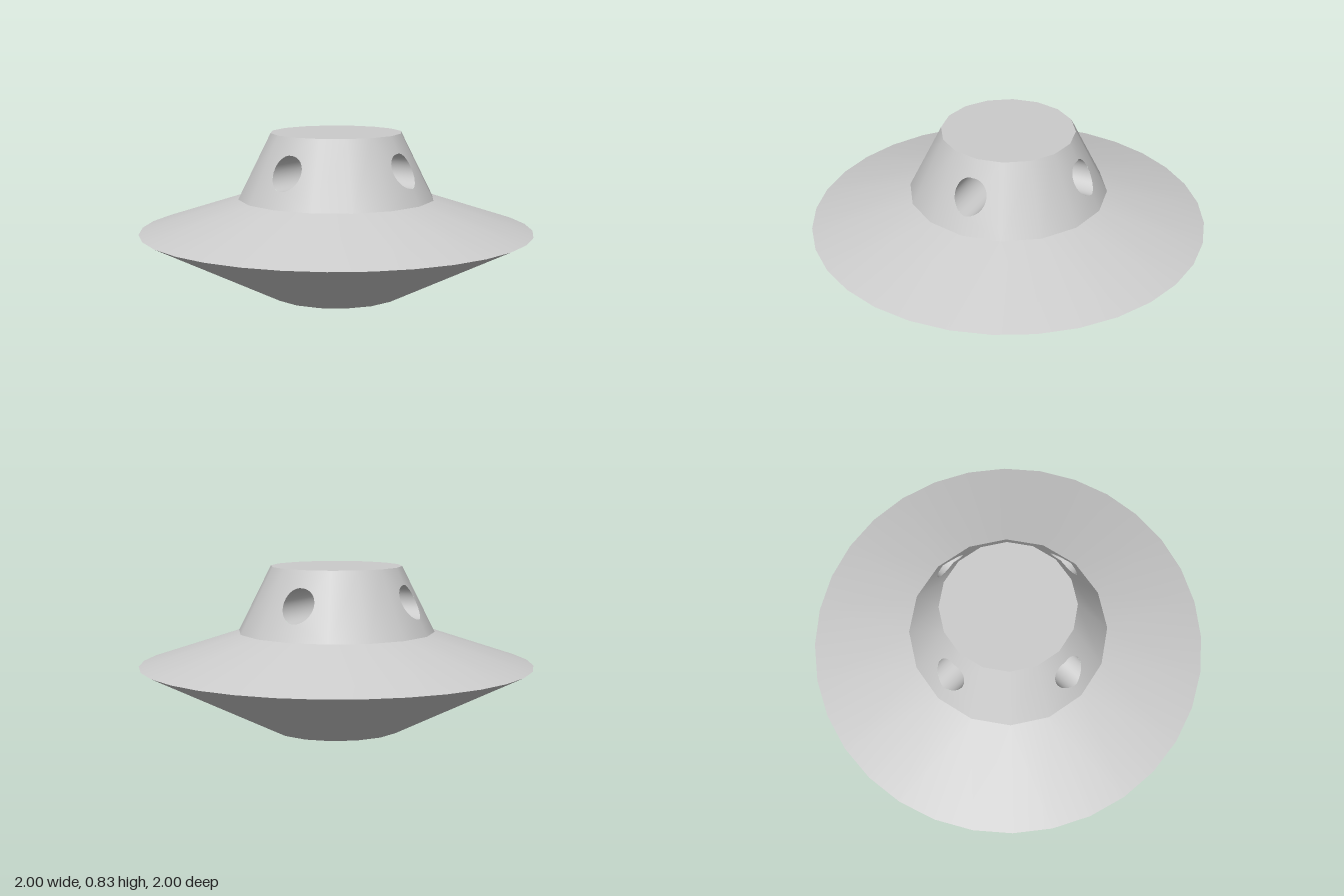
import * as THREE from 'three';

const SIDES = 16, R_SMALL = 1 / 3, R_WAIST = 0.5, Y_RIM = 1 / 3, Y_WAIST = 0.5, Y_TOP = 5 / 6;
const HOLE_R = 1 / 12, HOLE_Y = 2 / 3, STEP = (Math.PI * 2) / SIDES;
const material = new THREE.MeshStandardMaterial({ color: 0xcccccc });

function addMesh(parent, name, geometry) {
  const mesh = new THREE.Mesh(geometry, material);
  mesh.name = name;
  parent.add(mesh);
  return mesh;
}

function buildGeometry(positions, normals, index) {
  const g = new THREE.BufferGeometry();
  g.setAttribute('position', new THREE.Float32BufferAttribute(positions, 3));
  g.setAttribute('normal', new THREE.Float32BufferAttribute(normals, 3));
  g.setIndex(index);
  return g;
}

// Conical band joining a 16-sided inner ring to the 32-sided rim
function rimBand(innerR, innerY, slope) {
  const positions = [], normals = [], index = [];
  const ring = (count, r, y) => {
    for (let i = 0; i < count; i++) {
      const a = (i / count) * Math.PI * 2, s = Math.sin(a), c = Math.cos(a);
      const len = Math.hypot(1, slope);
      positions.push(r * s, y, r * c);
      normals.push(s / len, slope / len, c / len);
    }
  };
  ring(SIDES, innerR, innerY);
  ring(SIDES * 2, 1, Y_RIM);
  const tri = (a, b, c) => (slope > 0 ? index.push(a, b, c) : index.push(a, c, b));
  for (let i = 0; i < SIDES; i++) {
    const next = (i + 1) % SIDES;
    const o = [0, 1, 2].map((k) => SIDES + ((2 * i + k) % (SIDES * 2)));
    tri(i, o[0], o[1]);
    tri(i, o[1], next);
    tri(next, o[1], o[2]);
  }
  return buildGeometry(positions, normals, index);
}

// Depth of the faceted cabin wall, on the two facets either side of +z
const wallRadius = (y) => R_WAIST + ((R_SMALL - R_WAIST) * (y - Y_WAIST)) / (Y_TOP - Y_WAIST);
const wallDepth = (x, y) => wallRadius(y) - Math.abs(x) * Math.tan(STEP / 2);

// One cabin facet beside +z with half of a round window cut from it
function windowFacet(side) {
  const s = Math.sin(STEP), shape = new THREE.Shape();
  shape.moveTo(0, Y_WAIST);
  shape.lineTo(R_WAIST * s, Y_WAIST);
  shape.lineTo(R_SMALL * s, Y_TOP);
  shape.lineTo(0, Y_TOP);
  shape.lineTo(0, HOLE_Y + HOLE_R);
  shape.absarc(0, HOLE_Y, HOLE_R, Math.PI / 2, -Math.PI / 2, true);
  shape.closePath();
  const g = new THREE.ShapeGeometry(shape, 16);
  const p = g.attributes.position, n = g.attributes.normal, v = new THREE.Vector3();
  for (let i = 0; i < p.count; i++) {
    const x = side * p.getX(i), y = p.getY(i), z = wallDepth(x, y), a = Math.atan2(x, z);
    p.setXYZ(i, x, y, z);
    v.set(Math.sin(a), 0.5, Math.cos(a)).normalize();
    n.setXYZ(i, v.x, v.y, v.z);
  }
  if (side < 0) g.index.array.reverse();
  return g;
}

// Tunnel wall from a window inward to the mitre where the tunnels cross
function tunnelWall() {
  const count = 32, positions = [], normals = [], index = [];
  for (let i = 0; i <= count; i++) {
    const a = (i / count) * Math.PI * 2, c = Math.cos(a), s = Math.sin(a);
    const x = HOLE_R * c, y = HOLE_Y + HOLE_R * s;
    positions.push(x, y, Math.abs(x), x, y, wallDepth(x, y));
    normals.push(-c, -s, 0, -c, -s, 0);
    if (i < count) {
      const k = 2 * i;
      index.push(k, k + 1, k + 2, k + 1, k + 3, k + 2);
    }
  }
  return buildGeometry(positions, normals, index);
}

export function createModel() {
  const model = new THREE.Group();
  model.name = 'saucer';

  // Disc hull
  addMesh(model, 'upperHull', rimBand(R_WAIST, Y_WAIST, 3));
  addMesh(model, 'lowerHull', rimBand(R_SMALL, 0, -2));
  const cap = new THREE.CircleGeometry(R_SMALL, SIDES);
  addMesh(model, 'base', cap).rotation.x = Math.PI / 2;

  // Cabin: four identical quarters, each with a window and its tunnel
  const cabin = new THREE.Group();
  cabin.name = 'cabin';
  model.add(cabin);
  const height = Y_TOP - Y_WAIST;
  const plain = new THREE.CylinderGeometry(R_SMALL, R_WAIST, height, 2, 1, true, STEP, STEP * 2);
  plain.translate(0, Y_WAIST + height / 2, 0);
  const leftFacet = windowFacet(1), rightFacet = windowFacet(-1), tunnel = tunnelWall();
  for (let q = 0; q < 4; q++) {
    const quarter = new THREE.Group();
    quarter.name = 'cabinQuarter';
    quarter.rotation.y = (q * Math.PI) / 2;
    addMesh(quarter, 'plainWall', plain);
    addMesh(quarter, 'windowWallLeft', leftFacet);
    addMesh(quarter, 'windowWallRight', rightFacet);
    addMesh(quarter, 'windowTunnel', tunnel);
    cabin.add(quarter);
  }
  const roof = addMesh(cabin, 'roof', cap);
  roof.rotation.x = -Math.PI / 2;
  roof.position.y = Y_TOP;
  return model;
}
